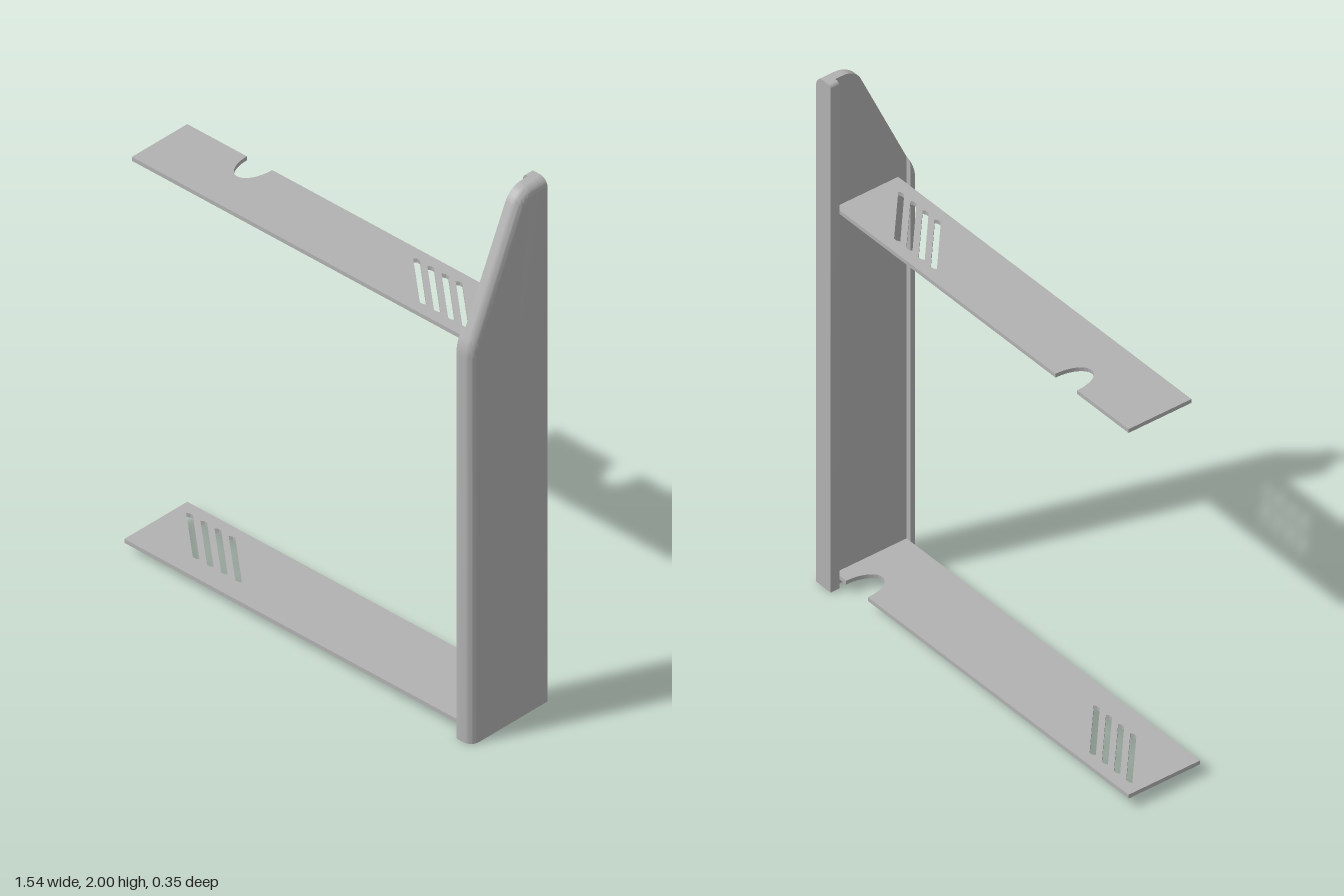
import * as THREE from 'three';
import { toCreasedNormals } from 'three/addons/utils/BufferGeometryUtils.js';

const grey = new THREE.MeshStandardMaterial({ color: 0xb2b2b2 });
grey.name = 'grey';

const X0 = 0.695, XF = 0.715, X1 = 0.768;     // inner lip, channel floor, outer face
const BACK = -0.175, FRONT = 0.173;
const CH_BACK = -0.14, CH_FRONT = 0.147;      // channel between the lips
const LEAN = THREE.MathUtils.degToRad(26);    // slope of the upper front edge

// Profile points are [z, y, nz, ny]; the last two give the inset direction
function arc(cz, cy, r, from, to, steps) {
  return Array.from({ length: steps + 1 }, (_, i) => {
    const t = from + (to - from) * i / steps, c = Math.cos(t), s = Math.sin(t);
    return [cz + r * c, cy + r * s, c, s];
  });
}

// Stack the profile along x; each layer is [x, inset]
function loft(profile, layers) {
  const n = profile.length;
  const rings = layers.map(([x, d]) =>
    profile.map(([z, y, nz, ny]) => new THREE.Vector3(x, y - ny * d, z - nz * d)));
  const pos = [];
  const tri = (...vs) => vs.forEach(v => pos.push(v.x, v.y, v.z));
  for (let k = 0; k < rings.length - 1; k++) {
    for (let i = 0; i < n; i++) {
      const j = (i + 1) % n, lo = rings[k], hi = rings[k + 1];
      tri(lo[i], lo[j], hi[j]);
      tri(lo[i], hi[j], hi[i]);
    }
  }
  const cap = (ring, flip) => {
    const flat = ring.map(v => new THREE.Vector2(-v.z, v.y));
    for (const [a, b, c] of THREE.ShapeUtils.triangulateShape(flat, [])) {
      if (flip) tri(ring[a], ring[c], ring[b]);
      else tri(ring[a], ring[b], ring[c]);
    }
  };
  cap(rings[0], true);
  cap(rings[rings.length - 1], false);
  const g = new THREE.BufferGeometry();
  g.setAttribute('position', new THREE.Float32BufferAttribute(pos, 3));
  return toCreasedNormals(g, 0.5);
}

// Quarter-round layers, at the outer (dir 1) or inner (dir -1) face
function fillet(face, r, dir, steps = 6) {
  const out = [];
  for (let i = 0; i <= steps; i++) {
    const t = (i / steps) * Math.PI / 2;
    out.push([face - dir * r * (1 - Math.sin(t)), r * (1 - Math.cos(t))]);
  }
  return dir > 0 ? out : out.reverse();
}

function shelfGeometry(front, notchX, slotX) {
  // Shape y is -z
  const s = new THREE.Shape();
  const left = -0.77, rx = 0.055;
  s.moveTo(left, -front);
  s.lineTo(XF, -front);
  s.lineTo(XF, -CH_BACK);
  s.lineTo(notchX + rx, -CH_BACK);
  s.absellipse(notchX, -CH_BACK, rx, 0.102, 0, Math.PI, true);
  s.lineTo(left, -CH_BACK);
  s.closePath();
  // Four slanted vent slots
  for (let i = 0; i < 4; i++) {
    const x = slotX + i * 0.0617;
    s.holes.push(new THREE.Path([
      [0, 0.092], [0.012, 0.099], [0.024, 0.098],
      [0.208, -0.065], [0.198, -0.071], [0.185, -0.071],
    ].map(([dx, y]) => new THREE.Vector2(x + dx, y))));
  }
  const g = new THREE.ExtrudeGeometry(s, { depth: 0.015, bevelEnabled: false, curveSegments: 24 });
  g.rotateX(-Math.PI / 2);
  return toCreasedNormals(g, 0.5);
}

export function createModel() {
  const model = new THREE.Group();
  model.name = 'shelfBracket';
  const add = (name, geometry, parent, y = 0) => {
    const m = new THREE.Mesh(geometry, grey);
    m.name = name;
    m.position.y = y;
    parent.add(m);
  };

  // Upright side panel with a channel on its inner side
  const panel = new THREE.Group();
  panel.name = 'sidePanel';
  model.add(panel);
  const lowerArc = arc(FRONT - 0.15, 1.47, 0.15, LEAN, 0, 6);
  const web = [
    [FRONT, 0, 1, 0], [BACK, 0, 0, 0], [BACK, 2, 0, 1],
    ...arc(-0.11, 1.92, 0.08, Math.PI / 2, LEAN, 10),
    ...lowerArc,
  ];
  add('panelWeb', loft(web, [[XF, 0], ...fillet(X1, 0.035, 1, 8)]), panel);

  const lipLayers = [...fillet(X0, 0.014, -1), [XF, 0]];
  const backLip = [[CH_BACK, 0, 0, 0], [BACK, 0, 0, 0], [BACK, 2, 0, 1], [CH_BACK, 2, 0, 1]];
  add('backLip', loft(backLip, lipLayers), panel);

  const [slopeZ, slopeY] = lowerArc[0];
  const lipTop = slopeY + (slopeZ - CH_FRONT) / Math.tan(LEAN);
  const frontLip = [
    [FRONT, 0, 1, 0], [CH_FRONT, 0, 0, 0],
    [CH_FRONT, lipTop, 0, 1 / Math.sin(LEAN)],
    ...lowerArc,
  ];
  add('frontLip', loft(frontLip, lipLayers), panel);

  // Shelves: notch and slots trade ends between the two
  add('upperShelf', shelfGeometry(0.113, -0.455, 0.261), model, 1.48);
  add('lowerShelf', shelfGeometry(CH_FRONT, 0.605, -0.729), model, 0.036);
  return model;
}
